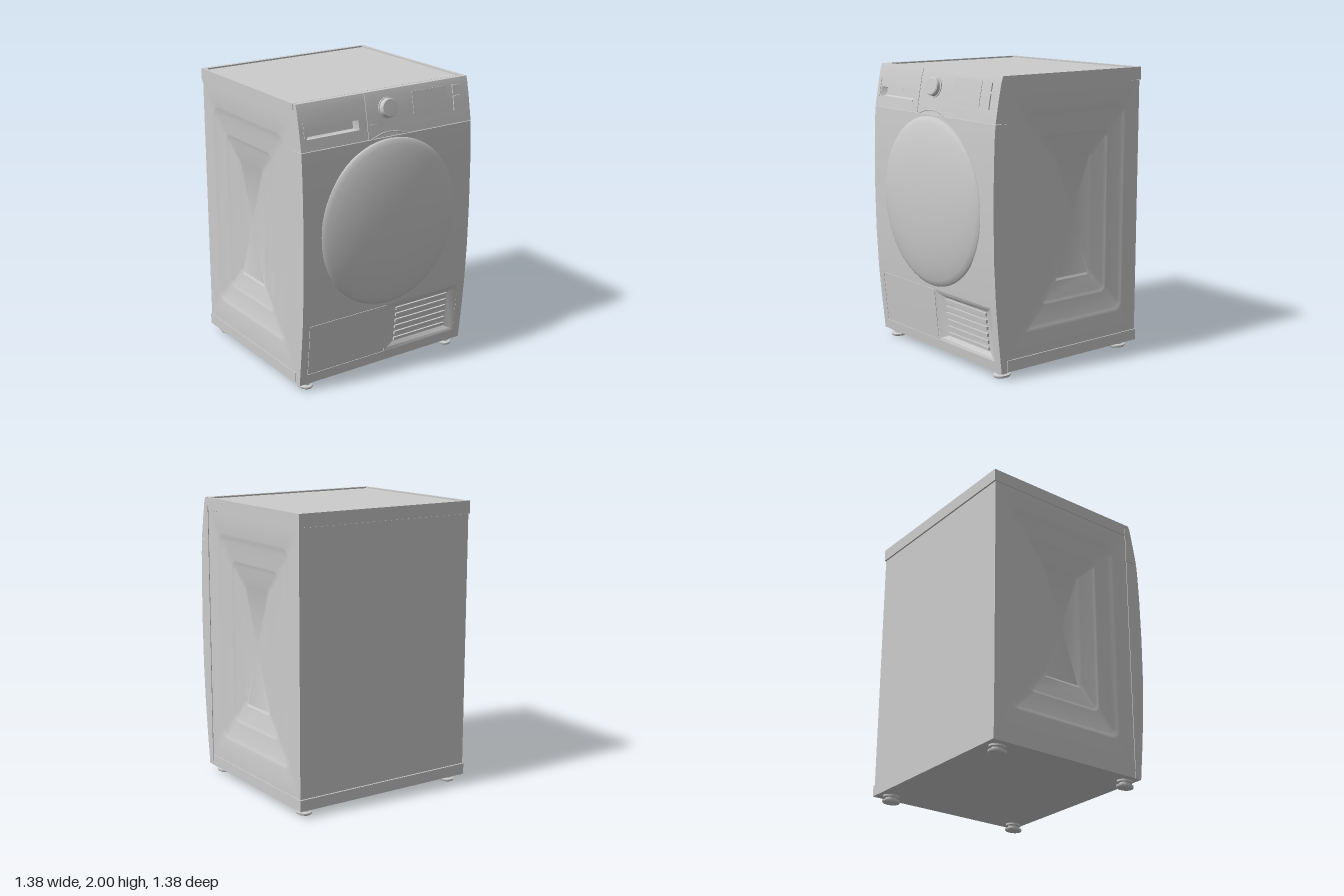
import * as THREE from 'three';
import { toCreasedNormals } from 'three/addons/utils/BufferGeometryUtils.js';

const mat = new THREE.MeshStandardMaterial({ color: 0xcccccc });

// Gently bowed front: depth z at height y
const frontCurve = [[0.05, 0.54], [0.3, 0.567], [0.52, 0.587], [0.8, 0.602], [1.1, 0.607],
  [1.4, 0.604], [1.6, 0.597], [1.7, 0.59], [1.85, 0.564], [1.96, 0.542], [2, 0.528]];
function frontZ(y) {
  for (let i = 1; i < frontCurve.length; i++) {
    const [y0, z0] = frontCurve[i - 1], [y1, z1] = frontCurve[i];
    if (y <= y1) return z0 + (z1 - z0) * (y - y0) / (y1 - y0);
  }
  return 0.528;
}

// Slab whose front face follows the bowed front
function slab(x0, x1, y0, y1, offset = 0, back = 0.494) {
  const s = new THREE.Shape();
  s.moveTo(back, y0);
  s.lineTo(frontZ(y0) + offset, y0);
  for (const [y, z] of frontCurve) if (y > y0 && y < y1) s.lineTo(z + offset, y);
  s.lineTo(frontZ(y1) + offset, y1);
  s.lineTo(back, y1);
  const g = new THREE.ExtrudeGeometry(s, { depth: x1 - x0, bevelEnabled: false });
  g.rotateY(-Math.PI / 2).translate(x1, 0, 0);
  return toCreasedNormals(g, 0.4);
}

// Pressed sheet: nested rounded rectangles [u0, u1, v0, v1, radius, depth], outer to inner
function pressed(rings, zAt = () => 0) {
  const pos = [], idx = [], seg = 6, n = 4 * (seg + 1);
  for (const [u0, u1, v0, v1, r, d] of rings) {
    const corners = [[u1 - r, v1 - r], [u0 + r, v1 - r], [u0 + r, v0 + r], [u1 - r, v0 + r]];
    corners.forEach(([cu, cv], c) => {
      for (let k = 0; k <= seg; k++) {
        const a = (c + k / seg) * Math.PI / 2;
        const v = cv + r * Math.sin(a);
        pos.push(cu + r * Math.cos(a), v, zAt(v) + d);
      }
    });
  }
  for (let j = 0; j < rings.length - 1; j++) {
    for (let i = 0; i < n; i++) {
      const a = j * n + i, b = j * n + (i + 1) % n;
      idx.push(a, b, b + n, a, b + n, a + n);
    }
  }
  const [u0, u1, v0, v1, , d] = rings[rings.length - 1];
  const base = (rings.length - 1) * n, mid = pos.length / 3;
  pos.push((u0 + u1) / 2, (v0 + v1) / 2, zAt((v0 + v1) / 2) + d);
  for (let i = 0; i < n; i++) idx.push(base + i, base + (i + 1) % n, mid);
  const g = new THREE.BufferGeometry();
  g.setAttribute('position', new THREE.Float32BufferAttribute(pos, 3));
  g.setIndex(idx);
  return toCreasedNormals(g, 0.45);
}

export function createModel() {
  const model = new THREE.Group();
  const add = (name, geo, parent = model) => {
    const m = new THREE.Mesh(geo, mat);
    m.name = name;
    parent.add(m);
    return m;
  };
  const box = (name, x0, x1, y0, y1, z0, z1, parent) => add(name,
    new THREE.BoxGeometry(x1 - x0, y1 - y0, z1 - z0)
      .translate((x0 + x1) / 2, (y0 + y1) / 2, (z0 + z1) / 2), parent);

  // Cabinet
  box('cabinetCore', -0.64, 0.64, 0.06, 1.95, -0.66, 0.48);
  box('backPanel', -0.685, 0.685, 0.13, 1.91, -0.677, -0.65);
  box('plinth', -0.69, 0.69, 0.05, 0.128, -0.685, 0.49);

  // Side panels with stepped pressings
  const steps = [
    [-0.675, 0.49, 0.13, 1.91, 0.002, 0],
    [-0.55, 0.37, 0.29, 1.77, 0.06, 0],
    [-0.535, 0.35, 0.31, 1.75, 0.06, -0.004],
    [-0.51, 0.315, 0.33, 1.71, 0.04, -0.013],
    [-0.40, 0.205, 0.45, 1.6, 0.05, -0.013],
    [-0.39, 0.195, 0.46, 1.585, 0.045, -0.016],
    [-0.37, 0.175, 0.48, 1.56, 0.03, -0.024],
    [-0.27, 0.075, 0.595, 1.46, 0.03, -0.027],
    [-0.25, 0.055, 0.61, 1.44, 0.02, -0.035],
  ];
  for (const side of [-1, 1]) {
    const rings = steps.map(([a, b, ...rest]) => side < 0 ? [a, b, ...rest] : [-b, -a, ...rest]);
    add(side < 0 ? 'rightSidePanel' : 'leftSidePanel',
      pressed(rings).rotateY(side * Math.PI / 2).translate(side * 0.686, 0, 0));
  }

  // Top: raised rim around an inset sheet
  const rim = new THREE.Shape([[-0.69, -0.492], [0.69, -0.492], [0.69, 0.687], [-0.69, 0.687]]
    .map(p => new THREE.Vector2(...p)));
  rim.holes.push(new THREE.Path([[-0.665, -0.488], [-0.665, 0.657], [0.665, 0.657], [0.665, -0.488]]
    .map(p => new THREE.Vector2(...p))));
  add('topRim', new THREE.ExtrudeGeometry(rim, { depth: 0.088, bevelEnabled: false })
    .rotateX(-Math.PI / 2).translate(0, 1.912, 0));
  box('topSheet', -0.667, 0.667, 1.92, 1.99, -0.66, 0.49);

  // Bowed front, split into pieces with narrow seams
  const front = new THREE.Group();
  front.name = 'front';
  model.add(front);
  const pieces = {
    frontBacking: [-0.685, 0.685, 0.05, 1.99, -0.045, 0.45],
    frontBottom: [-0.69, 0.69, 0.05, 0.12],
    frontRightEdge: [-0.69, -0.633, 0.12, 0.49],
    frontLeftEdge: [0.63, 0.69, 0.12, 0.49],
    serviceFlap: [-0.63, 0, 0.123, 0.487],
    frontMain: [-0.69, 0.69, 0.49, 1.696],
    controlPanel: [-0.168, 0.69, 1.7, 2],
    drawerBottom: [-0.69, -0.172, 1.7, 1.765],
    drawerTop: [-0.69, -0.172, 1.84, 2],
    drawerRightEdge: [-0.69, -0.64, 1.765, 1.84],
    drawerLeftEdge: [-0.235, -0.172, 1.765, 1.84],
  };
  for (const [name, p] of Object.entries(pieces)) add(name, slab(...p), front);

  // Drawer handle recess and grip
  add('handleRecess', pressed([
    [-0.64, -0.235, 1.765, 1.84, 0.002, 0],
    [-0.615, -0.26, 1.782, 1.834, 0.004, -0.035],
  ], frontZ), front);
  add('handleGrip', slab(-0.64, -0.235, 1.765, 1.776, 0.004), front);
  add('drawerMarker', slab(-0.657, -0.65, 1.77, 1.9, 0.003), front);

  // Ventilation grille
  add('grilleRecess', pressed([
    [0.003, 0.63, 0.12, 0.49, 0.002, 0],
    [0.03, 0.605, 0.14, 0.47, 0.006, -0.006],
    [0.09, 0.56, 0.165, 0.445, 0.01, -0.028],
  ], frontZ), front);
  for (let i = 0; i < 6; i++) {
    const y = 0.175 + i * 0.048;
    add('grilleSlat', slab(0.1, 0.55, y, y + 0.022, -0.014), front);
  }

  // Display, buttons and trim on the control panel
  add('display', slab(0.21, 0.5, 1.79, 1.96, 0.003), front);
  add('smallButton', slab(0.55, 0.608, 1.9, 1.957, 0.008), front);
  add('largeButton', slab(0.55, 0.608, 1.785, 1.885, 0.008), front);
  add('indicatorStrip', slab(-0.145, -0.09, 1.788, 1.795, 0.003), front);
  const arch = new THREE.CatmullRomCurve3([-0.14, -0.07, 0, 0.07, 0.14].map(x => {
    const y = 1.73 - 1.5 * x * x;
    return new THREE.Vector3(x, y, frontZ(y));
  }));
  add('doorArchTrim', new THREE.TubeGeometry(arch, 24, 0.005, 6), front);

  // Programme knob
  const knob = [[0.072, -0.01], [0.072, 0.006], [0.064, 0.008], [0.062, 0.03], [0.056, 0.036], [0, 0.037]];
  const knobMesh = add('knob', toCreasedNormals(new THREE.LatheGeometry(
    knob.map(p => new THREE.Vector2(...p)), 40), 0.6));
  knobMesh.position.set(0, 1.885, frontZ(1.885));
  knobMesh.rotation.x = Math.PI / 2 - 0.18;

  // Domed door
  const dome = [[0.55, -0.03], [0.56, 0], [0.548, 0.012], [0.52, 0.026], [0.45, 0.046],
    [0.36, 0.064], [0.25, 0.079], [0.12, 0.088], [0, 0.09]];
  const door = add('door', new THREE.LatheGeometry(
    dome.map(p => new THREE.Vector2(...p)), 64).rotateX(Math.PI / 2));
  door.scale.y = 0.585 / 0.56;
  door.position.set(0, 1.105, 0.598);

  // Adjustable feet
  const foot = [[0, 0], [0.046, 0], [0.05, 0.006], [0.05, 0.016], [0.032, 0.022], [0.032, 0.034],
    [0.045, 0.038], [0.045, 0.055]];
  for (const x of [-0.605, 0.605]) {
    for (const z of [-0.59, 0.47]) {
      const f = add('foot', toCreasedNormals(new THREE.LatheGeometry(
        foot.map(p => new THREE.Vector2(...p)), 24), 0.6));
      f.position.set(x, 0, z);
      f.scale.z = 1.3;
    }
  }
  return model;
}
